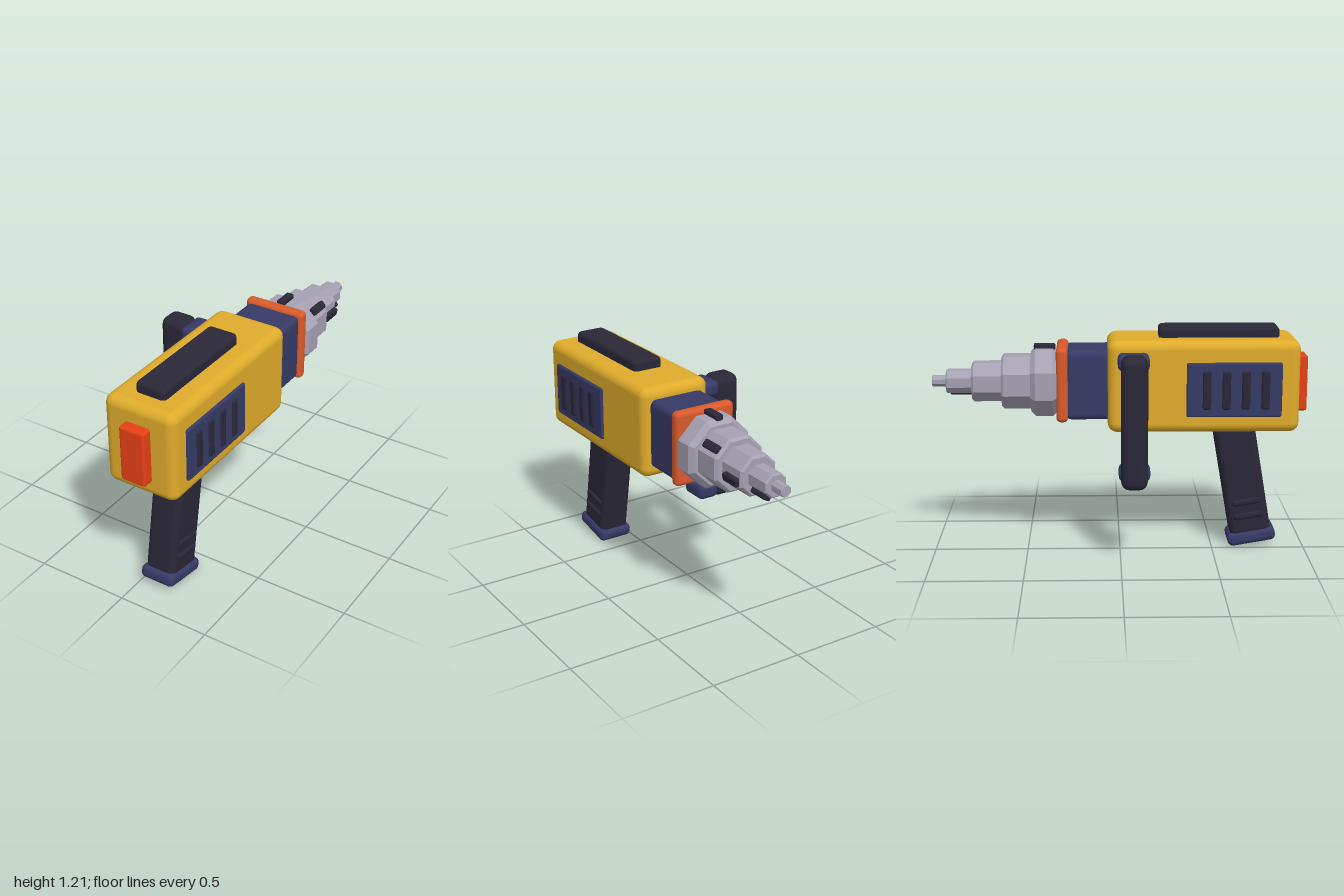
import * as THREE from 'three';
import { RoundedBoxGeometry } from 'three/addons/geometries/RoundedBoxGeometry.js';

const mat = (color, flatShading = false) => new THREE.MeshStandardMaterial({ color, flatShading });
const YELLOW = mat(0xe0ac2b), DARK = mat(0x2a2738), NAVY = mat(0x363a66);
const ORANGE = mat(0xd95a2b), RED = mat(0xe84015), METAL = mat(0xa6a1b3, true);

// Common centre line of body and drill bit
const CX = 0.106, CY = 0.917;

function box(parent, name, material, size, pos, radius) {
  const mesh = new THREE.Mesh(new RoundedBoxGeometry(...size, 3, radius), material);
  mesh.name = name;
  mesh.position.set(...pos);
  parent.add(mesh);
  return mesh;
}

// Eight-sided step with chamfered ends, running from z0 back to z1
function bitStep(parent, name, apothem, z0, z1, bevel) {
  const r = apothem / Math.cos(Math.PI / 8), len = z0 - z1;
  const profile = [[0, 0], [r - bevel, 0], [r, bevel], [r, len - bevel], [r - bevel, len], [0, len]]
    .map(([x, y]) => new THREE.Vector2(x, y));
  const geo = new THREE.LatheGeometry(profile, 8, Math.PI / 8);
  geo.rotateX(-Math.PI / 2);
  const mesh = new THREE.Mesh(geo, METAL);
  mesh.name = name;
  mesh.position.set(CX, CY, z0);
  parent.add(mesh);
}

export function createModel() {
  const model = new THREE.Group();
  model.name = 'powerDrill';

  // Housing with top rail and end button
  box(model, 'body', YELLOW, [0.402, 0.49, 1.01], [CX, 0.915, 0.439], 0.05);
  box(model, 'topRail', DARK, [0.168, 0.08, 0.636], [CX, 1.177, 0.524], 0.024);
  box(model, 'endButton', RED, [0.14, 0.3, 0.1], [CX, 0.91, 0.95], 0.014);

  // Slotted vent panels on both sides
  for (const side of [-1, 1]) {
    const vent = new THREE.Group();
    vent.name = side > 0 ? 'leftVent' : 'rightVent';
    box(vent, 'ventPanel', NAVY, [0.04, 0.288, 0.5], [CX + side * 0.196, 0.904, 0.596], 0.01);
    for (let i = 0; i < 4; i++) {
      box(vent, 'ventSlot', DARK, [0.03, 0.205, 0.045], [CX + side * 0.211, 0.903, 0.452 + i * 0.102], 0.012);
    }
    model.add(vent);
  }

  // Collar and ring in front of the bit
  box(model, 'collar', NAVY, [0.312, 0.368, 0.27], [CX, CY, -0.153], 0.03);
  box(model, 'collarRing', ORANGE, [0.344, 0.396, 0.062], [CX, CY + 0.003, -0.305], 0.024);

  // Stepped bit: each step carries one dark insert, turning about the axis
  const bit = new THREE.Group();
  bit.name = 'drillBit';
  const steps = [
    [0.178, -0.33, -0.472, 0.026],
    [0.14, -0.462, -0.628, 0.014],
    [0.103, -0.618, -0.787, 0.012],
    [0.061, -0.777, -0.925, 0.008],
    [0.029, -0.915, -1.0, 0.003],
  ];
  steps.forEach(([apothem, z0, z1, bevel], i) => {
    bitStep(bit, 'bitStep', apothem, z0, z1, bevel);
    if (i === 4) return;
    const angle = THREE.MathUtils.degToRad(50 * i), r = apothem + 0.006;
    const insert = box(bit, 'bitInsert', DARK, [0.044, 0.036, 0.114],
      [CX + r * Math.sin(angle), CY + r * Math.cos(angle), z1 + 0.073], 0.01);
    insert.rotation.z = -angle;
  });
  model.add(bit);

  // Tilted main grip, origin at the foot
  const grip = new THREE.Group();
  grip.name = 'mainGrip';
  grip.position.set(CX, 0.058, 0.719);
  grip.rotation.x = -THREE.MathUtils.degToRad(9.8);
  box(grip, 'gripFoot', NAVY, [0.198, 0.072, 0.262], [0, 0, 0], 0.028);
  box(grip, 'gripHandle', DARK, [0.17, 0.7, 0.222], [0, 0.36, 0], 0.035);
  for (const y of [0.125, 0.203]) {
    box(grip, 'gripRib', DARK, [0.194, 0.036, 0.155], [0, y, 0], 0.015);
  }
  model.add(grip);

  // Side handle: upright bar with an arm at each end
  const sideHandle = new THREE.Group();
  sideHandle.name = 'sideHandle';
  box(sideHandle, 'sideBar', DARK, [0.158, 0.694, 0.138], [-0.257, 0.767, 0.069], 0.045);
  box(sideHandle, 'upperArm', NAVY, [0.16, 0.084, 0.165], [-0.12, 1.06, 0.068], 0.03);
  box(sideHandle, 'lowerArm', NAVY, [0.122, 0.086, 0.165], [-0.141, 0.473, 0.073], 0.03);
  model.add(sideHandle);

  return model;
}
